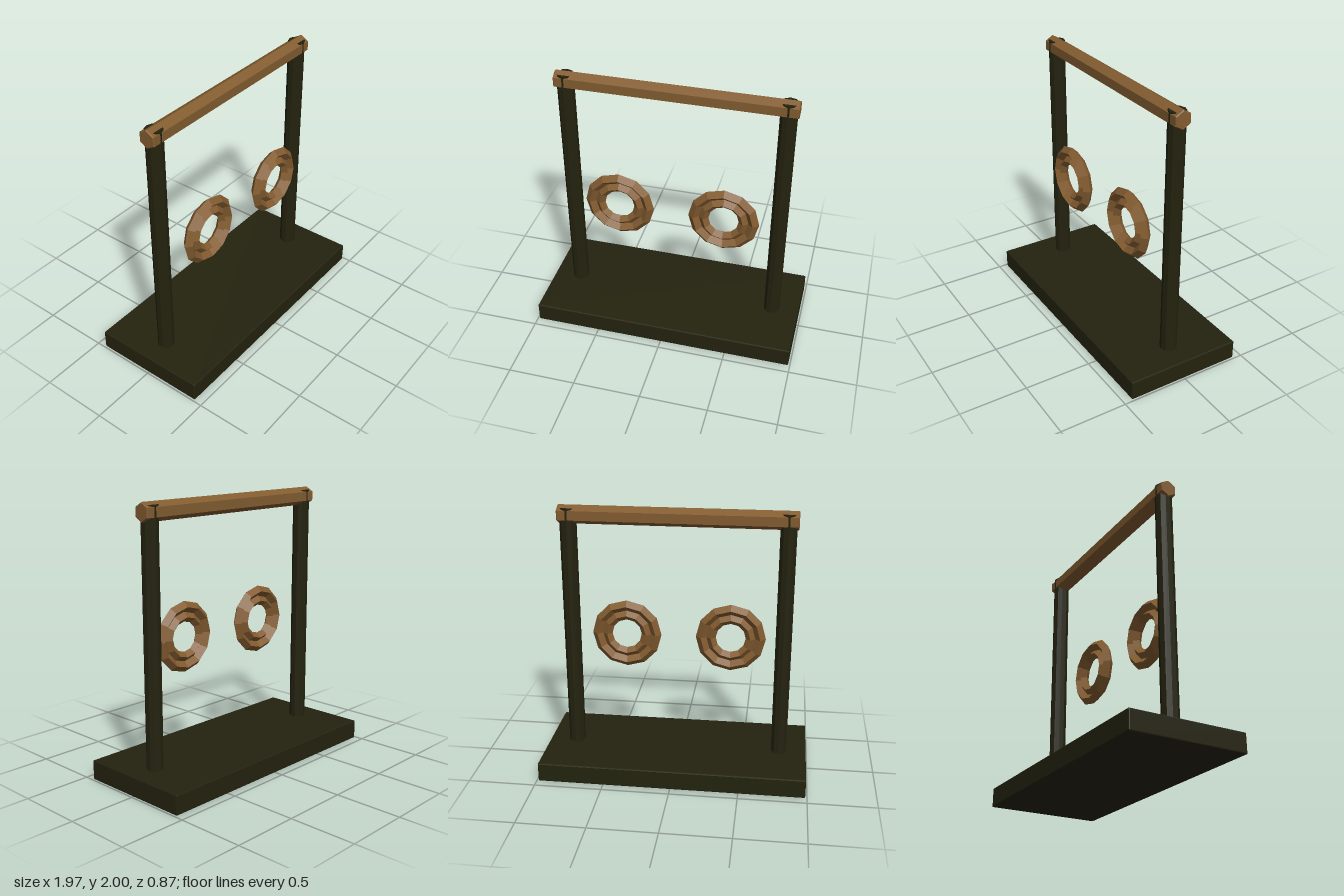
import * as THREE from 'three';
import { RoundedBoxGeometry } from 'three/addons/geometries/RoundedBoxGeometry.js';

export function createModel() {
  const model = new THREE.Group();
  model.name = 'ringFrame';

  const darkWood = new THREE.MeshStandardMaterial({ color: 0x24230f, flatShading: true });
  darkWood.name = 'dark wood';
  const lightWood = new THREE.MeshStandardMaterial({ color: 0x835c30, flatShading: true });
  lightWood.name = 'light wood';

  const add = (name, geometry, material, x, y, z, parent = model) => {
    const mesh = new THREE.Mesh(geometry, material);
    mesh.name = name;
    mesh.position.set(x, y, z);
    parent.add(mesh);
    return mesh;
  };

  // Base slab with slightly softened edges
  add('base', new RoundedBoxGeometry(1.974, 0.145, 0.872, 1, 0.008), darkWood, 0, 0.0725, 0);

  // Six-sided crossbar with chamfered ends, one edge on top
  const barHalf = 0.852, barRadius = 0.068, chamfer = 0.006;
  const barProfile = [
    [0, -barHalf], [barRadius - chamfer, -barHalf], [barRadius, -barHalf + chamfer],
    [barRadius, barHalf - chamfer], [barRadius - chamfer, barHalf], [0, barHalf],
  ].map(([r, y]) => new THREE.Vector2(r, y));
  const barGeometry = new THREE.LatheGeometry(barProfile, 6, Math.PI / 2);
  barGeometry.rotateZ(Math.PI / 2);
  add('crossbar', barGeometry, lightWood, 0, 2 - barRadius, 0);

  // Ten-sided posts whose front and back edges just break through the crossbar
  const postBottom = 0.1, postTop = 1.98;
  const postGeometry = new THREE.CylinderGeometry(0.0612, 0.0612, postTop - postBottom, 10);

  // Each ring is a pair of nested hoops with a diamond cross-section
  const outerHoop = new THREE.TorusGeometry(0.221, 0.04, 4, 12);
  const innerHoop = new THREE.TorusGeometry(0.147, 0.036, 4, 12);

  for (const [side, sign] of [['left', 1], ['right', -1]]) {
    add(side + 'Post', postGeometry, darkWood, sign * 0.781, (postBottom + postTop) / 2, 0);

    const ring = new THREE.Group();
    ring.name = side + 'Ring';
    ring.position.set(sign * 0.39, 1.005, 0.1);
    add(side + 'OuterHoop', outerHoop, lightWood, 0, 0, 0, ring);
    add(side + 'InnerHoop', innerHoop, lightWood, 0, 0, 0, ring);
    model.add(ring);
  }

  return model;
}
